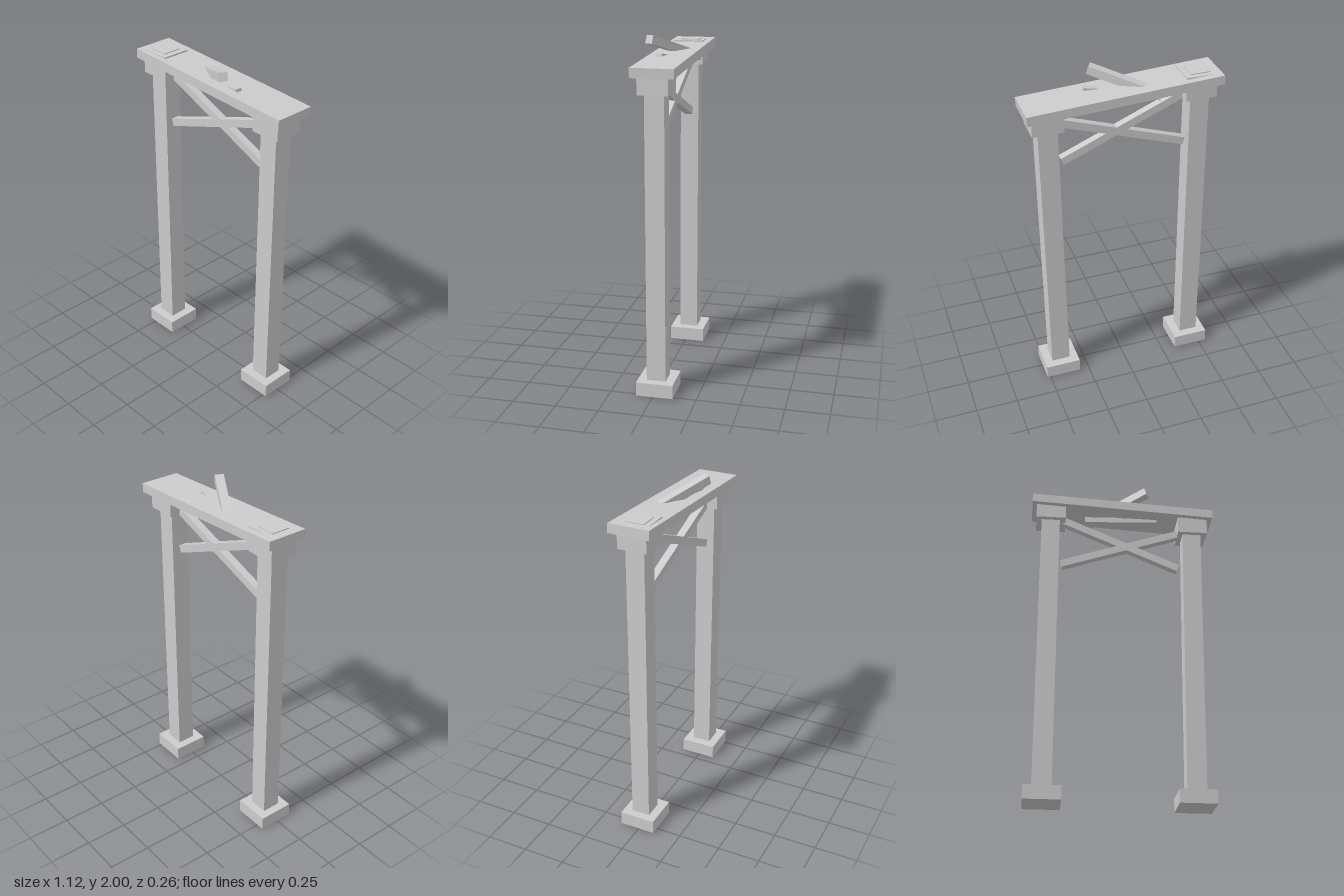
import * as THREE from 'three';

export function createModel() {
  const model = new THREE.Group();
  const material = new THREE.MeshStandardMaterial({ color: 0xcccccc, flatShading: true });
  const Z = -0.01; // shared depth centre of the posts

  function add(name, geometry) {
    const mesh = new THREE.Mesh(geometry, material);
    mesh.name = name;
    model.add(mesh);
    return mesh;
  }

  // upright block between two heights; lean shifts its top sideways
  function block(name, x, y0, y1, width, depth, lean = 0) {
    const h = y1 - y0;
    const geometry = new THREE.BoxGeometry(width, h, depth);
    const p = geometry.attributes.position;
    for (let i = 0; i < p.count; i++) {
      if (p.getY(i) > 0) p.setX(i, p.getX(i) + lean);
    }
    add(name, geometry).position.set(x, y0 + h / 2, Z);
  }

  // straight timber from one end centre to the other
  function timber(name, from, to, height, depth) {
    const a = new THREE.Vector3(...from);
    const b = new THREE.Vector3(...to);
    const d = b.clone().sub(a);
    const mesh = add(name, new THREE.BoxGeometry(d.length(), height, depth));
    mesh.position.copy(a).add(b).multiplyScalar(0.5);
    mesh.rotation.order = 'YZX';
    mesh.rotation.y = -Math.atan2(d.z, d.x);
    mesh.rotation.z = Math.atan2(d.y, Math.hypot(d.x, d.z));
  }

  // right post stands straight, its cap just breaking through the lintel
  block('rightBase', -0.44, 0, 0.08, 0.212, 0.212);
  block('rightPost', -0.442, 0.08, 1.927, 0.112, 0.11);
  block('rightCap', -0.44, 1.78, 1.922, 0.18, 0.17);

  // left post leans outward a little and is shorter
  block('leftBase', 0.414, 0, 0.08, 0.212, 0.212);
  block('leftPost', 0.415, 0.08, 1.84, 0.112, 0.11, 0.017);
  block('leftCap', 0.434, 1.72, 1.86, 0.18, 0.17);

  // sagging lintel
  timber('lintel', [-0.557, 1.897, -0.014], [0.556, 1.84, -0.014], 0.054, 0.24);

  // crossed braces
  timber('braceDown', [-0.38, 1.806, Z], [0.346, 1.498, Z], 0.045, 0.045);
  timber('braceUp', [-0.37, 1.494, Z], [0.37, 1.748, Z], 0.045, 0.045);

  // fallen timbers stuck through and under the lintel
  timber('fallenBeam', [-0.205, 1.849, -0.1], [0.148, 1.973, 0.102], 0.048, 0.05);
  timber('fallenSplinter', [0, 1.855, 0.008], [0.2, 1.886, 0.036], 0.034, 0.037);
  timber('looseBatten', [-0.228, 1.826, -0.03], [0.22, 1.831, 0.0], 0.036, 0.04);

  return model;
}
